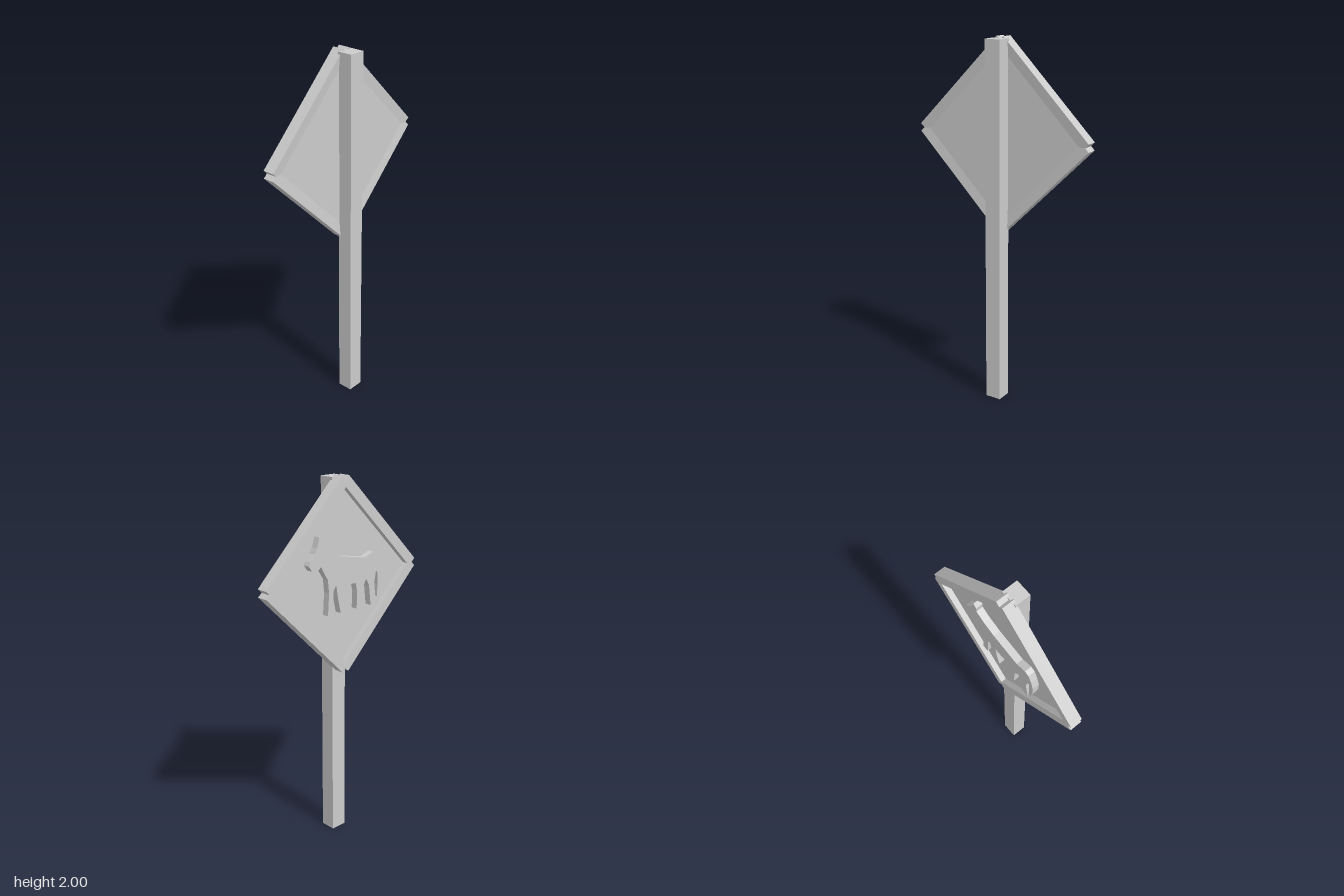
import * as THREE from 'three';

const material = new THREE.MeshStandardMaterial({ color: 0xcccccc, flatShading: true });

function addMesh(parent, name, geometry, x = 0, y = 0, z = 0) {
  const mesh = new THREE.Mesh(geometry, material);
  mesh.name = name;
  mesh.position.set(x, y, z);
  parent.add(mesh);
  return mesh;
}

function shapeOf(points) {
  return new THREE.Shape(points.map(([x, y]) => new THREE.Vector2(x, y)));
}

export function createModel() {
  const model = new THREE.Group();
  model.name = 'animalWarningSign';

  // Square post standing in front of the board
  addMesh(model, 'post', new THREE.BoxGeometry(0.09, 1.99, 0.085), 0, 0.995, 0.0295);

  const sign = new THREE.Group();
  sign.name = 'sign';
  sign.position.y = 1.483;
  model.add(sign);

  // Diamond board: thin panel inside four frame bars with notched corners
  const board = new THREE.Group();
  board.name = 'board';
  board.rotation.z = Math.PI / 4;
  sign.add(board);
  addMesh(board, 'panel', new THREE.BoxGeometry(0.68, 0.68, 0.028), 0, 0, -0.021);

  // Bar section: distance from the centre, depth behind the front
  const section = shapeOf([[0.325, 0.007], [0.38, 0], [0.38, 0.066], [0.325, 0.066]]);
  const barGeometry = new THREE.ExtrudeGeometry(section, { depth: 0.702, bevelEnabled: false });
  barGeometry.translate(0, 0, -0.351);
  barGeometry.rotateX(-Math.PI / 2);
  for (let i = 0; i < 4; i++) {
    addMesh(board, 'frameBar', barGeometry).rotation.z = (i * Math.PI) / 2;
  }

  // Grazing animal in relief on the back, head towards +x
  const outline = shapeOf([
    [0.185, 0.235], [0.165, 0.215], [0.165, 0.18], [0.11, 0.145], [0.04, 0.118],
    [-0.05, 0.1], [-0.13, 0.085], [-0.19, 0.108], [-0.215, 0.095], [-0.235, 0.05],
    [-0.25, -0.01], [-0.25, -0.07], [-0.237, -0.14], [-0.222, -0.14], [-0.225, -0.07],
    [-0.222, -0.01], [-0.212, 0.0], [-0.2, -0.06], [-0.215, -0.18], [-0.175, -0.18],
    [-0.162, -0.07], [-0.14, -0.03], [-0.113, -0.08], [-0.113, -0.18], [-0.073, -0.18],
    [-0.073, -0.08], [-0.065, -0.04], [0.03, -0.036], [0.025, -0.09], [0.003, -0.18],
    [0.042, -0.18], [0.062, -0.09], [0.072, -0.028], [0.09, -0.05], [0.095, -0.18],
    [0.13, -0.18], [0.122, -0.06], [0.13, 0.01], [0.155, 0.05], [0.175, 0.085],
    [0.205, 0.062], [0.235, 0.072], [0.255, 0.1], [0.245, 0.12], [0.215, 0.155], [0.2, 0.185],
  ]);
  addMesh(sign, 'animalRelief',
    new THREE.ExtrudeGeometry(outline, { depth: 0.042, bevelEnabled: false }), 0, 0, -0.073);

  return model;
}
